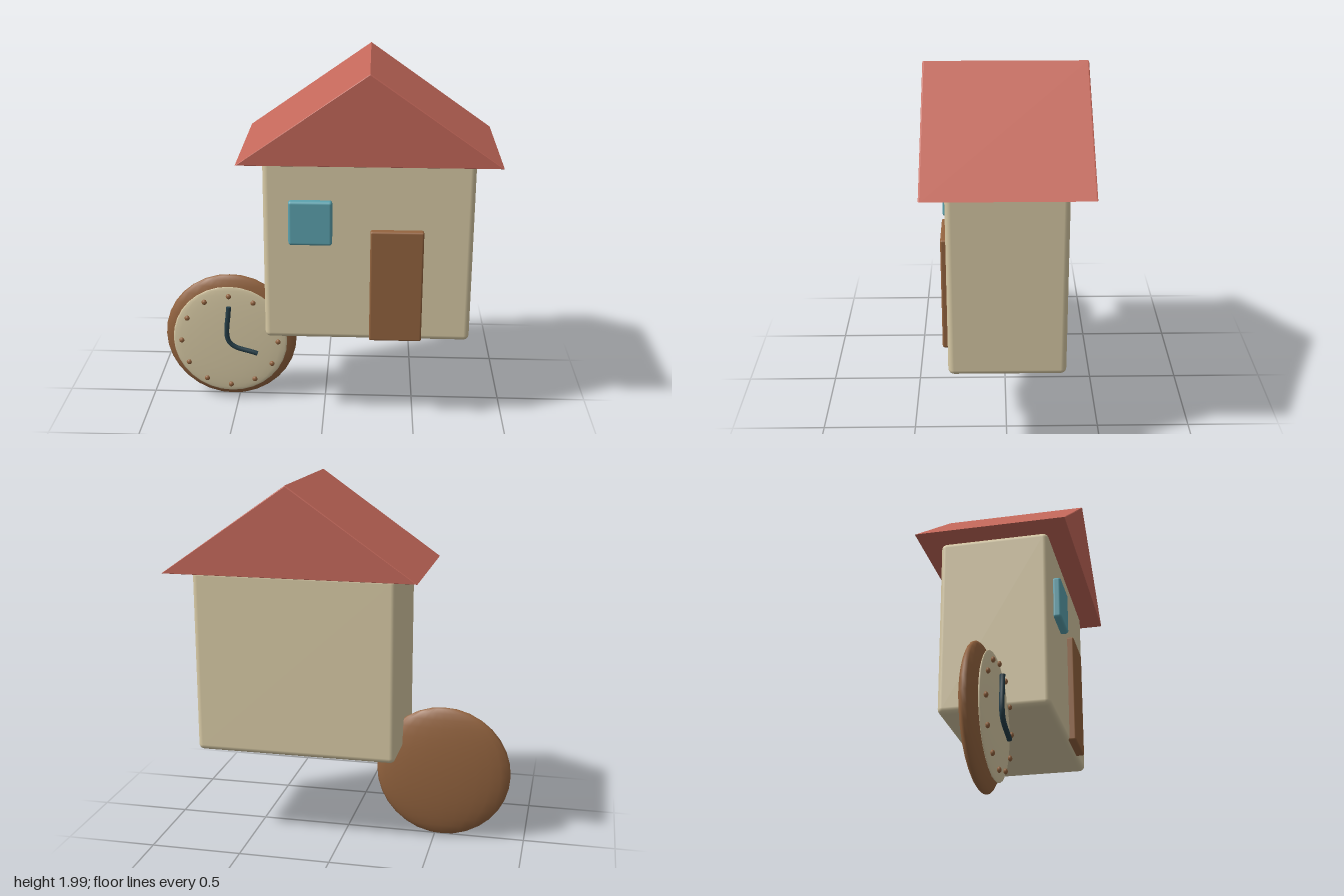
import * as THREE from 'three';
import { RoundedBoxGeometry } from 'three/addons/geometries/RoundedBoxGeometry.js';

const material = (name, color) => {
  const m = new THREE.MeshStandardMaterial({ color });
  m.name = name;
  return m;
};

export function createModel() {
  const cream = material('cream', 0xd8caa5);
  const red = material('roofRed', 0xc4685a);
  const brown = material('woodBrown', 0x94643f);
  const blue = material('windowBlue', 0x5ca3af);
  const dark = material('handDark', 0x263f49);

  const model = new THREE.Group();
  model.name = 'houseWithClock';

  const add = (parent, name, geometry, mat, x = 0, y = 0, z = 0) => {
    const mesh = new THREE.Mesh(geometry, mat);
    mesh.name = name;
    mesh.position.set(x, y, z);
    parent.add(mesh);
    return mesh;
  };

  // Rounded box given by its limits on each axis
  const block = (parent, name, mat, [x0, x1], [y0, y1], [z0, z1], r) =>
    add(parent, name, new RoundedBoxGeometry(x1 - x0, y1 - y0, z1 - z0, 3, r), mat,
      (x0 + x1) / 2, (y0 + y1) / 2, (z0 + z1) / 2);

  // Sphere squashed along z
  const disc = (parent, name, mat, radius, depth, x, y, z, w = 24, h = 16) =>
    add(parent, name, new THREE.SphereGeometry(1, w, h).scale(radius, radius, depth), mat, x, y, z);

  // House
  const house = new THREE.Group();
  house.name = 'house';
  model.add(house);
  block(house, 'walls', cream, [-0.315, 0.79], [0.515, 1.525], [-0.3, 0.3], 0.03);
  block(house, 'door', brown, [0.25, 0.53], [0.525, 1.15], [0.285, 0.337], 0.01);
  block(house, 'window', blue, [-0.18, 0.05], [1.07, 1.312], [0.295, 0.343], 0.015);

  // Gable roof with a slight bevel
  const gable = new THREE.Shape([
    new THREE.Vector2(-0.44, 1.525),
    new THREE.Vector2(0.915, 1.525),
    new THREE.Vector2(0.2375, 2.0),
  ]);
  const roof = new THREE.ExtrudeGeometry(gable, {
    depth: 0.816, bevelEnabled: true, bevelThickness: 0.007, bevelSize: 0.005,
    bevelOffset: -0.005, bevelSegments: 2,
  });
  add(house, 'roof', roof.translate(0, 0, -0.408), red);

  // Clock, built around its own centre
  const clock = new THREE.Group();
  clock.name = 'clock';
  clock.position.set(-0.54, 0.383, 0);
  model.add(clock);
  disc(clock, 'clockBody', brown, 0.375, 0.066, 0, 0, 0);
  disc(clock, 'clockFace', cream, 0.325, 0.018, 0, 0, 0.063);

  // Hour marks
  for (let i = 0; i < 12; i++) {
    const a = (i * Math.PI) / 6;
    disc(clock, 'hourMark', brown, 0.015, 0.011,
      0.275 * Math.sin(a), 0.275 * Math.cos(a), 0.087, 10, 8);
  }

  // Bent hands, one tube with closed ends
  const path = new THREE.CatmullRomCurve3([
    new THREE.Vector3(0, 0.217, 0.102),
    new THREE.Vector3(0, 0, 0.102),
    new THREE.Vector3(0.158, -0.068, 0.102),
  ]);
  add(clock, 'hands', new THREE.TubeGeometry(path, 20, 0.014, 8), dark);
  for (const t of [0, 1]) {
    const cap = add(clock, 'handEnd', new THREE.CircleGeometry(0.014, 8), dark);
    const p = path.getPoint(t);
    const out = path.getTangent(t).multiplyScalar(t ? 1 : -1);
    cap.position.copy(p);
    cap.quaternion.setFromUnitVectors(new THREE.Vector3(0, 0, 1), out);
  }

  return model;
}
